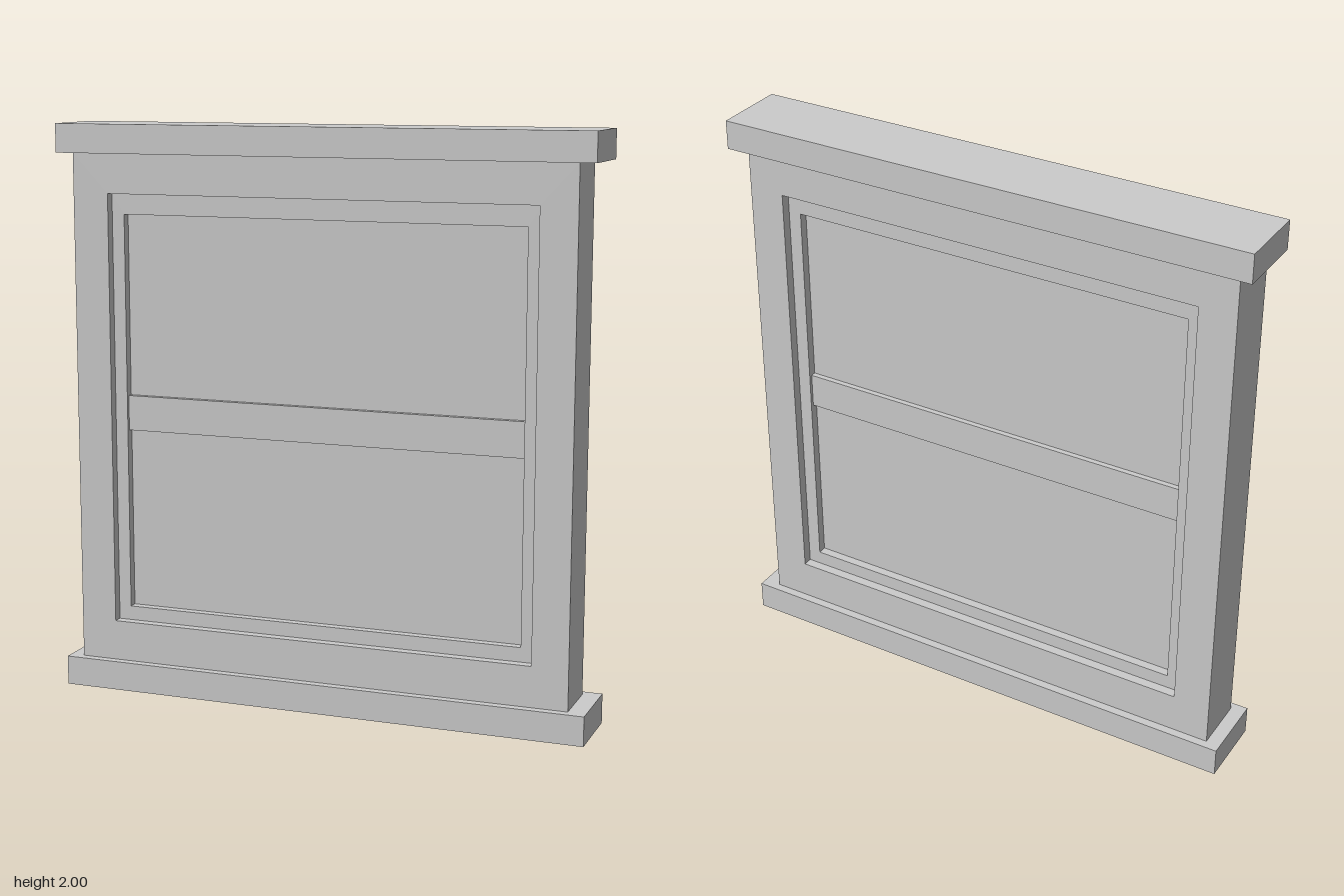
import * as THREE from 'three';

const material = new THREE.MeshStandardMaterial({ color: 0xcccccc });

// Box given by its limits, centred on z = 0
function slab(name, x0, x1, y0, y1, depth) {
  const mesh = new THREE.Mesh(new THREE.BoxGeometry(x1 - x0, y1 - y0, depth), material);
  mesh.position.set((x0 + x1) / 2, (y0 + y1) / 2, 0);
  mesh.name = name;
  return mesh;
}

function trace(path, [x0, x1, y0, y1]) {
  path.moveTo(x0, y0);
  path.lineTo(x1, y0);
  path.lineTo(x1, y1);
  path.lineTo(x0, y1);
  path.closePath();
  return path;
}

// Rectangular ring with a rectangular opening, centred on z = 0
function ring(name, outer, inner, depth) {
  const shape = trace(new THREE.Shape(), outer);
  shape.holes.push(trace(new THREE.Path(), inner));
  const geometry = new THREE.ExtrudeGeometry(shape, { depth, bevelEnabled: false });
  geometry.translate(0, 0, -depth / 2);
  const mesh = new THREE.Mesh(geometry, material);
  mesh.name = name;
  return mesh;
}

export function createModel() {
  const model = new THREE.Group();
  model.name = 'window';

  const wall = [-0.9, 0.885, 0.1, 1.9];
  const opening = [-0.77, 0.758, 0.245, 1.762];
  const glazing = [-0.725, 0.712, 0.295, 1.69];

  model.add(
    // Projecting boards below and above
    slab('sill', -0.95, 0.947, 0, 0.103, 0.26),
    slab('lintel', -0.95, 0.947, 1.9, 2, 0.26),
    // Casing, then the sash stepped back inside it
    ring('casing', wall, opening, 0.2),
    ring('sash', opening, glazing, 0.132),
    // Pane and the rail crossing it
    slab('pane', ...glazing, 0.07),
    slab('meetingRail', glazing[0], glazing[1], 0.932, 1.055, 0.108)
  );
  return model;
}
